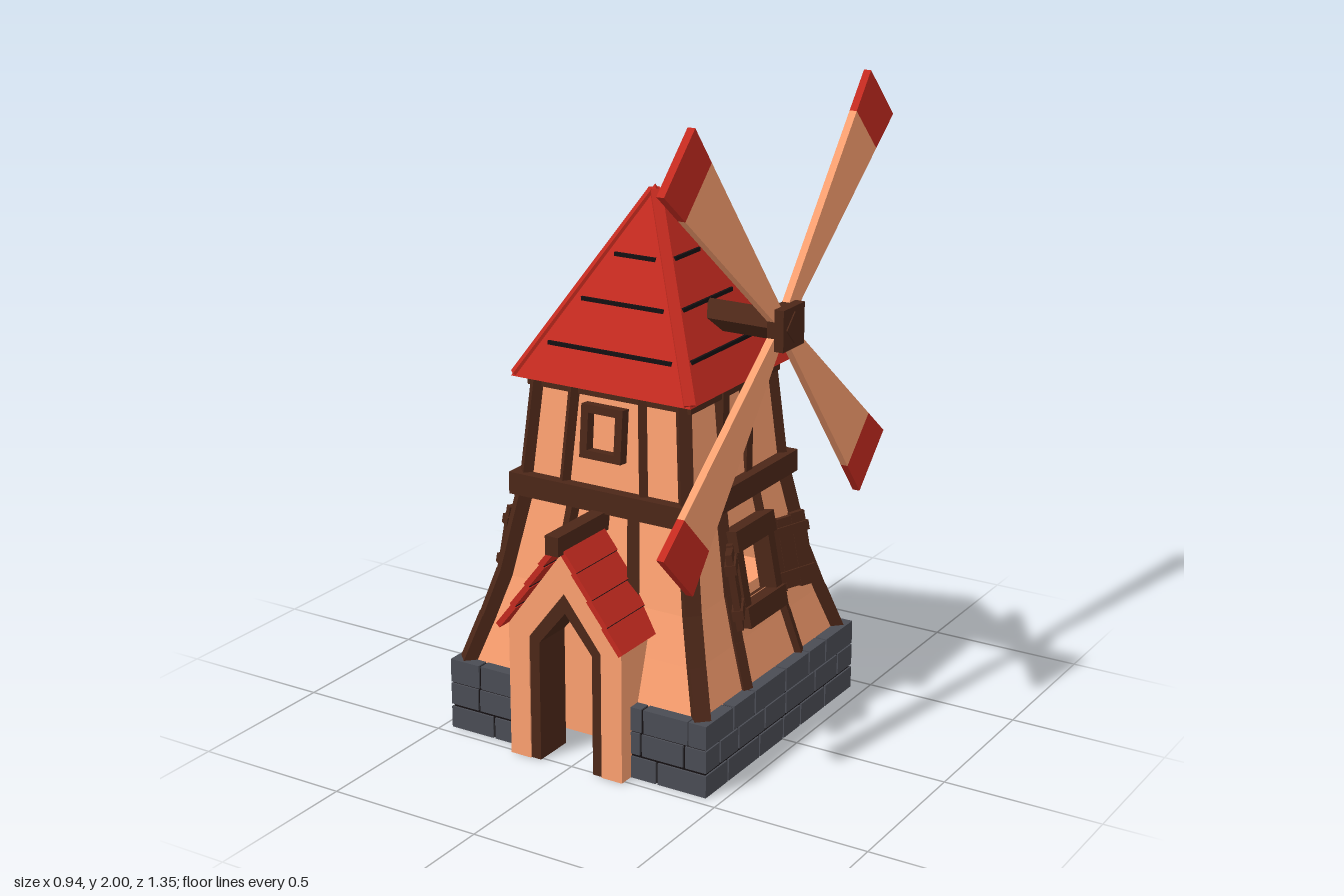
import * as THREE from 'three';

const mat = (color, side = THREE.FrontSide) =>
  new THREE.MeshStandardMaterial({ color, side, flatShading: true });
const PEACH = mat(0xfca070), WALL = mat(0xfca070, THREE.DoubleSide);
const BROWN = mat(0x4c2718), RED = mat(0xc42a1f), BLACK = mat(0x141012), STONE = mat(0x4a4c54);

function add(parent, name, geometry, material, x = 0, y = 0, z = 0) {
  const m = new THREE.Mesh(geometry, material);
  m.name = name;
  m.position.set(x, y, z);
  parent.add(m);
  return m;
}
const box = (p, name, mt, w, h, d, x, y, z) =>
  add(p, name, new THREE.BoxGeometry(w, h, d), mt, x, y, z);

// Bar from a to b, w wide and h thick, in its parent's own frame
function beam(p, name, mt, a, b, w, h) {
  const A = new THREE.Vector3(...a), B = new THREE.Vector3(...b);
  const m = add(p, name, new THREE.BoxGeometry(w, h, A.distanceTo(B)), mt);
  m.position.copy(A).lerp(B, 0.5);
  m.quaternion.setFromRotationMatrix(new THREE.Matrix4().lookAt(B, A, new THREE.Vector3(0, 1, 0)));
  return m;
}

function group(parent, name, x = 0, y = 0, z = 0) {
  const g = new THREE.Group();
  g.name = name;
  g.position.set(x, y, z);
  parent.add(g);
  return g;
}

function extrude(points, depth) {
  const shape = new THREE.Shape(points.map(([x, y]) => new THREE.Vector2(x, y)));
  return new THREE.ExtrudeGeometry(shape, { depth, bevelEnabled: false });
}

// Tower half width at a height
const PROFILE = [[0.2, 0.43], [0.36, 0.38], [0.5, 0.34], [0.76, 0.292], [1.14, 0.258]];
function halfWidth(y) {
  for (let i = 1; i < PROFILE.length; i++) {
    const [y0, w0] = PROFILE[i - 1], [y1, w1] = PROFILE[i];
    if (y <= y1) return w0 + (w1 - w0) * (y - y0) / (y1 - y0);
  }
  return PROFILE[PROFILE.length - 1][1];
}

// One tower face toward +z, with a central opening between two heights
function wallGeometry(open, lo, hi) {
  const ys = [...new Set([...PROFILE.map(p => p[0]), lo, hi])].sort((a, b) => a - b);
  const pos = [];
  for (let i = 0; i + 1 < ys.length; i++) {
    const [y0, y1] = [ys[i], ys[i + 1]], [w0, w1] = [halfWidth(y0), halfWidth(y1)];
    const c0 = [-w0, -open, open, w0], c1 = [-w1, -open, open, w1];
    for (let c = 0; c < 3; c++) {
      if (c === 1 && y0 >= lo && y1 <= hi) continue;
      const a = [c0[c], y0, w0], b = [c0[c + 1], y0, w0];
      const d = [c1[c], y1, w1], e = [c1[c + 1], y1, w1];
      pos.push(...a, ...b, ...e, ...a, ...e, ...d);
    }
  }
  const g = new THREE.BufferGeometry();
  g.setAttribute('position', new THREE.Float32BufferAttribute(pos, 3));
  g.computeVertexNormals();
  return g;
}

function buildBase(p) {
  const g = group(p, 'stoneBase');
  for (let side = 0; side < 4; side++) {
    const s = group(g, 'stoneWall');
    s.rotation.y = side * Math.PI / 2;
    // The front has a gap for the doorway
    const spans = side === 0 ? [[-0.46, -0.13], [0.13, 0.46]] : [[-0.46, 0.46]];
    for (const [a, b] of spans) {
      const l = Math.max(a, -0.454), r = Math.min(b, 0.454);
      box(s, 'mortar', BLACK, r - l, 0.224, 0.046, (l + r) / 2, 0.114, 0.431);
      for (let row = 0; row < 3; row++) {
        let x = a, k = row * 2 + side;
        while (x < b - 0.01) {
          let w = [0.16, 0.13, 0.19, 0.15, 0.11][k++ % 5];
          if (x === a && row === 1) w *= 0.55;
          if (b - x - w < 0.06) w = b - x;
          const gapL = x === a ? 0 : 0.004, gapR = x + w >= b - 0.001 ? 0 : 0.004;
          box(s, 'stone', STONE, w - gapL - gapR, row === 2 ? 0.076 : 0.07, 0.06,
            x + (w + gapL - gapR) / 2, [0.035, 0.114, 0.192][row], 0.43);
          x += w;
        }
      }
    }
  }
}

function buildTower(p) {
  const g = group(p, 'tower');
  const heights = [0.22, 0.36, 0.5, 0.76, 1.13];
  // Straight inner block behind the doorway and base
  box(g, 'innerBlock', PEACH, 0.57, 0.45, 0.57, 0, 0.226, 0);
  for (let side = 0; side < 4; side++) {
    const s = group(g, 'towerSide');
    s.rotation.y = side * Math.PI / 2;
    const geo = side === 0 ? wallGeometry(0.1, 0.2, 0.42)
      : side === 2 ? wallGeometry(0.1, 0.2, 0.2) : wallGeometry(0.078, 0.46, 0.63);
    add(s, 'wall', geo, WALL);
    box(s, 'belt', BROWN, 0.645, 0.07, 0.07, 0, 0.795, 0.288);
    // Corner post bent along the wall
    for (let i = 0; i + 1 < heights.length; i++) {
      const [a, b] = [heights[i], heights[i + 1]];
      const [u, v] = [halfWidth(a) - 0.006, halfWidth(b) - 0.006];
      const w = a < 0.7 ? 0.05 : 0.04;
      beam(s, 'cornerPost', BROWN, [u, a, u], [v, b + 0.005, v], w, w);
    }
    if (side === 2) continue;
    for (const m of [-1, 1]) {
      const x = y => m * (0.165 - (y - 0.22) * 0.11);
      for (let i = 0; i < 3; i++) {
        const [a, b] = [heights[i], heights[i + 1]];
        beam(s, 'stud', BROWN, [x(a), a, halfWidth(a)], [x(b), b + 0.003, halfWidth(b)], 0.036, 0.03);
      }
      if (side === 0) beam(s, 'upperStud', BROWN, [m * 0.14, 0.8, 0.29], [m * 0.118, 1.13, 0.262], 0.024, 0.03);
      else box(s, 'upperStud', BROWN, 0.036, 0.33, 0.05, m * 0.072, 0.97, 0.268);
    }
  }
  box(g, 'eaveBeam', BROWN, 0.575, 0.04, 0.53, 0, 1.12, 0);
  // Small upper window
  const w = group(g, 'upperWindow', 0, 1.0, 0.28);
  w.rotation.x = -0.09;
  for (const m of [-1, 1]) {
    box(w, 'windowRail', BROWN, 0.145, 0.025, 0.05, 0, m * 0.07, 0);
    box(w, 'windowStile', BROWN, 0.025, 0.165, 0.05, m * 0.06, 0, 0);
  }
}

// Side window with two half open shutters
function buildSideWindow(p, turn) {
  const pivot = group(p, 'sideWindow');
  pivot.rotation.y = turn;
  const g = group(pivot, 'windowFrame', 0.345, 0.545, 0);
  g.rotation.z = 0.19;
  for (const m of [-1, 1]) {
    box(g, 'frameRail', BROWN, 0.07, 0.065, 0.23, 0.005, m * 0.12, 0);
    box(g, 'frameStile', BROWN, 0.06, 0.24, 0.035, 0, 0, m * 0.095);
    const s = group(g, 'shutter', 0, 0, m * 0.095);
    s.rotation.y = m * 0.5;
    for (let i = 0; i < 3; i++)
      box(s, 'shutterPlank', BROWN, 0.02, 0.235 - (i % 2) * 0.012, 0.05, 0, 0, m * (0.025 + i * 0.051));
    for (const k of [-1, 1]) box(s, 'shutterBatten', BROWN, 0.034, 0.03, 0.155, 0, k * 0.07, m * 0.08);
  }
}

function buildRoof(p) {
  const g = group(p, 'roof');
  const R = 0.314, base = 1.135, top = 1.7;
  const cone = new THREE.CylinderGeometry(0, R * Math.SQRT2, top - base, 4).rotateY(Math.PI / 4);
  add(g, 'roofPyramid', cone, RED, 0, (base + top) / 2, 0);
  for (let side = 0; side < 4; side++) {
    const s = group(g, 'roofSide');
    s.rotation.y = side * Math.PI / 2;
    beam(s, 'hipTrim', RED, [R - 0.005, base + 0.008, R - 0.005], [0.008, top - 0.016, 0.008], 0.034, 0.01);
    for (const y of [1.24, 1.37, 1.5]) {
      const r = R * (top - y) / (top - base);
      box(s, 'plankGap', BLACK, 2 * (r - 0.04), 0.012, 0.01, 0, y, r);
    }
  }
}

function buildPorch(p) {
  const g = group(p, 'porch');
  const arch = (w, shoulder, peak) => [[-w, 0], [w, 0], [w, shoulder], [0, peak], [-w, shoulder]];
  add(g, 'porchWall', extrude([[-0.2, 0], [-0.128, 0], [-0.128, 0.4], [0, 0.565], [0.128, 0.4], [0.128, 0],
    [0.2, 0], [0.2, 0.43], [0, 0.7], [-0.2, 0.43]], 0.165), PEACH, 0, 0, 0.345);
  const o = arch(0.13, 0.4, 0.567), i = arch(0.094, 0.385, 0.5);
  add(g, 'doorFrame', extrude([o[0], i[0], i[4], i[3], i[2], i[1], o[1], o[2], o[3], o[4]], 0.135),
    BROWN, 0, 0, 0.37);
  // Overlapping roof planks on each slope
  for (const m of [-1, 1]) {
    const slope = group(g, 'porchRoofSide', m * 0.107, 0.575, 0.432);
    slope.rotation.z = -m * Math.atan2(0.3, 0.21);
    for (let k = 0; k < 4; k++) {
      const plank = box(slope, 'roofPlank', RED, 0.096, 0.018, 0.22, m * (k - 1.5) * 0.091, 0.004, 0);
      plank.rotation.z = m * 0.06;
      if (k) box(slope, 'plankGap', BLACK, 0.008, 0.02, 0.212, m * (k - 2) * 0.091, 0.005, 0);
    }
  }
  box(g, 'ridgeBeam', BROWN, 0.046, 0.06, 0.28, 0, 0.735, 0.43);
}

function buildRotor(p) {
  const g = group(p, 'rotor', 0, 1.327, 0);
  const axle = box(g, 'axle', BROWN, 0.37, 0.068, 0.068, 0.283, 0, 0);
  axle.rotation.x = Math.PI / 4;
  box(g, 'hub', BROWN, 0.055, 0.127, 0.127, 0.4365, 0, 0);
  const width = r => 0.04 + 0.185 * r / 0.84;
  const piece = (a, b) => extrude([[-width(a) / 2, a], [width(a) / 2, a], [width(b) / 2, b], [-width(b) / 2, b]],
    0.024).rotateY(Math.PI / 2);
  for (let k = 0; k < 4; k++) {
    const blade = group(g, 'blade', 0.409, 0, 0);
    blade.rotation.x = Math.PI / 4 + k * Math.PI / 2;
    add(blade, 'sail', piece(0.03, 0.7), PEACH);
    add(blade, 'sailTip', piece(0.7, 0.84), RED);
  }
}

export function createModel() {
  const root = new THREE.Group();
  root.name = 'windmill';
  const body = group(root, 'body', -0.01, 0, 0.005);
  buildBase(body);
  buildTower(body);
  buildSideWindow(body, 0);
  buildSideWindow(body, Math.PI);
  buildRoof(body);
  buildPorch(body);
  buildRotor(root);
  return root;
}
